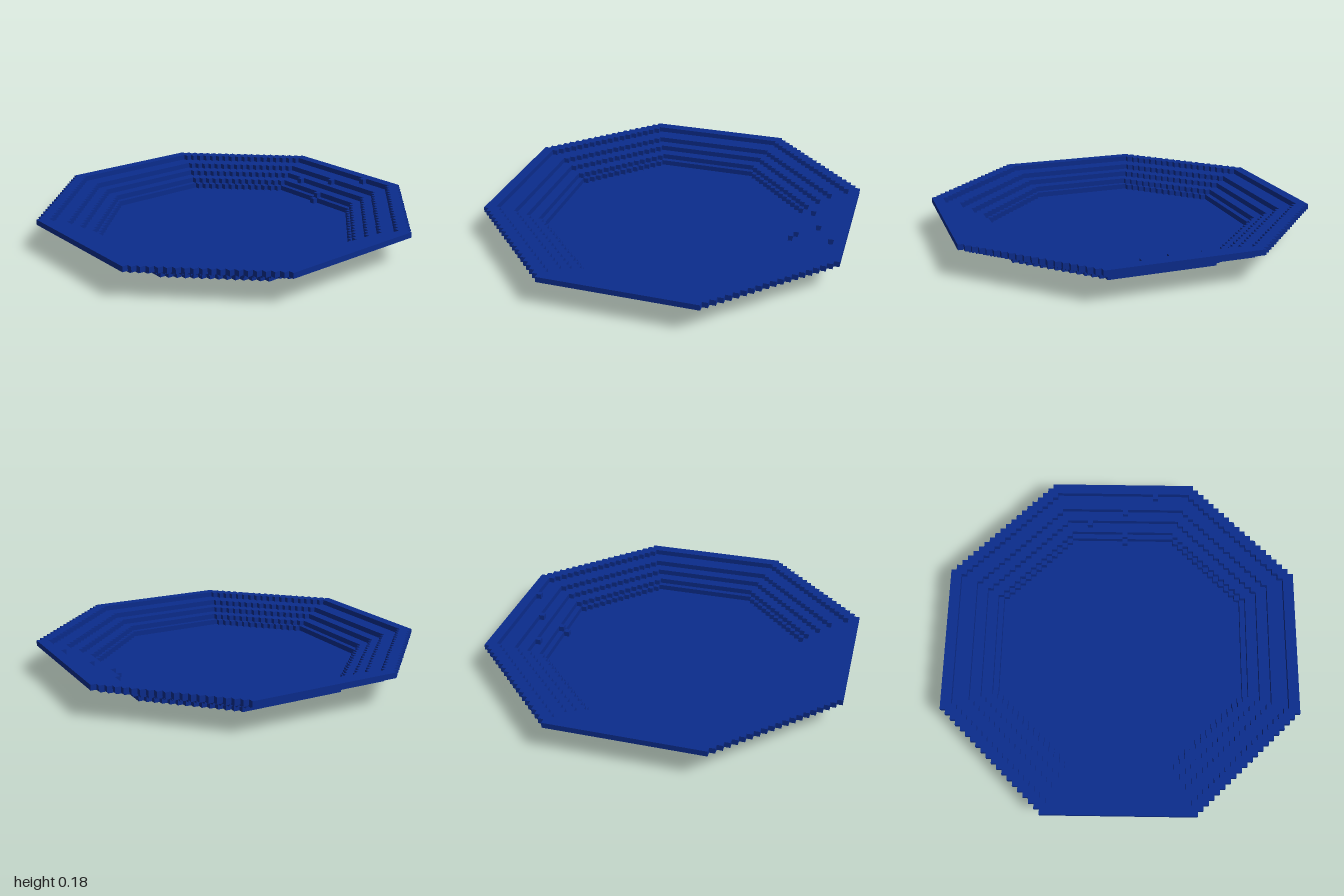
import * as THREE from 'three';

const V = 2 / 66; // edge of one voxel

// Stepped octagon outline: R = half width, f = half length of a straight side (in voxels)
function octagon(R, f) {
  const quarter = [];
  for (let k = 1; k <= R - f; k++) {
    quarter.push([R - k + 1, f + k - 1], [R - k, f + k - 1]);
  }
  quarter.push([f, R]);
  const points = [];
  for (let q = 0; q < 4; q++) {
    for (const p of quarter) {
      let [x, y] = p;
      for (let i = 0; i < q; i++) [x, y] = [-y, x];
      points.push(new THREE.Vector2(x * V, y * V));
    }
  }
  return points;
}

export function createModel() {
  const group = new THREE.Group();
  group.name = 'plate';
  const blue = new THREE.MeshStandardMaterial({ color: 0x0b2c8c });
  blue.name = 'deep blue';

  // Outer size of each one-voxel layer, from the floor up to the rim
  const layers = [[23, 10], [24, 10], [26, 11], [28, 12], [31, 13], [33, 14]];
  layers.forEach(([R, f], i) => {
    const shape = new THREE.Shape(octagon(R, f));
    // Each ring starts where the layer below it ends
    if (i > 0) shape.holes.push(new THREE.Path(octagon(...layers[i - 1])));
    const geometry = new THREE.ExtrudeGeometry(shape, { depth: V, bevelEnabled: false });
    geometry.rotateX(-Math.PI / 2);
    const mesh = new THREE.Mesh(geometry, blue);
    mesh.name = i === 0 ? 'floor' : i === 5 ? 'rim' : 'step' + i;
    mesh.position.y = i * V;
    group.add(mesh);
  });

  // Single raised voxels on the back steps: x cell, layer, z cell
  const bumps = [[6, 5, -31], [0, 4, -28], [-7, 3, -26], [0, 2, -24], [0, 1, -23]];
  bumps.forEach(([x, y, z], i) => {
    const mesh = new THREE.Mesh(new THREE.BoxGeometry(V, V, V), blue);
    mesh.name = 'bump' + (i + 1);
    mesh.position.set((x + 0.5) * V, (y + 0.5) * V, (z + 0.5) * V);
    group.add(mesh);
  });

  return group;
}
